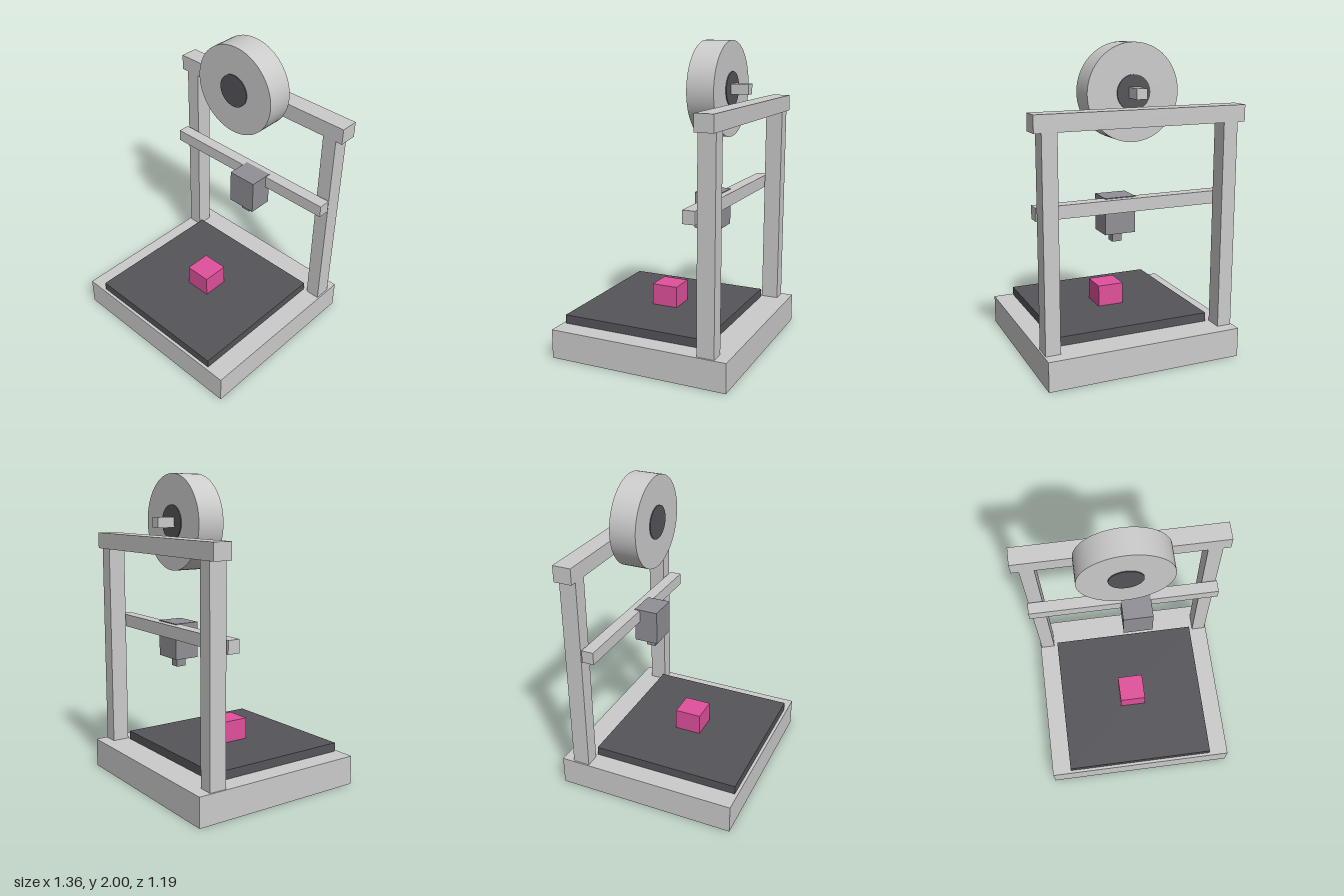
import * as THREE from 'three';

const material = (color) => new THREE.MeshStandardMaterial({ color });

export function createModel() {
  const model = new THREE.Group();
  model.name = 'printer';

  const frame = material(0xcccccc);
  const dark = material(0x55545a);
  const metal = material(0x909096);
  const pink = material(0xe0509c);

  // Box given by its [min, max] extent on each axis
  function box(name, [x0, x1], [y0, y1], [z0, z1], mat) {
    const mesh = new THREE.Mesh(new THREE.BoxGeometry(x1 - x0, y1 - y0, z1 - z0), mat);
    mesh.position.set((x0 + x1) / 2, (y0 + y1) / 2, (z0 + z1) / 2);
    mesh.name = name;
    model.add(mesh);
  }

  // Disc facing the front, centred on the spool axis
  function disc(name, radius, [z0, z1], mat) {
    const geometry = new THREE.CylinderGeometry(radius, radius, z1 - z0, 64);
    geometry.rotateX(Math.PI / 2);
    const mesh = new THREE.Mesh(geometry, mat);
    mesh.position.set(0, 1.703, (z0 + z1) / 2);
    mesh.name = name;
    model.add(mesh);
  }

  // Base, print bed and printed cube
  box('base', [-0.643, 0.643], [0, 0.19], [-0.597, 0.597], frame);
  box('printBed', [-0.51, 0.51], [0.19, 0.248], [-0.405, 0.577], dark);
  box('printedCube', [-0.088, 0.088], [0.248, 0.39], [-0.02, 0.156], pink);

  // Gantry: two posts, top beam and cross rail
  box('leftPost', [0.538, 0.633], [0.19, 1.515], [-0.517, -0.405], frame);
  box('rightPost', [-0.633, -0.538], [0.19, 1.515], [-0.517, -0.405], frame);
  box('topBeam', [-0.68, 0.68], [1.515, 1.62], [-0.523, -0.402], frame);
  box('crossRail', [-0.638, 0.638], [0.983, 1.065], [-0.395, -0.315], frame);

  // Print head and nozzle
  box('printHead', [-0.02, 0.18], [0.84, 1.07], [-0.352, -0.19], metal);
  box('nozzle', [0.048, 0.112], [0.778, 0.84], [-0.302, -0.238], metal);

  // Filament spool on its arm
  disc('spool', 0.297, [-0.359, -0.183], frame);
  disc('spoolHub', 0.108, [-0.365, -0.177], dark);
  box('spoolArm', [-0.034, 0.034], [1.672, 1.736], [-0.479, -0.27], frame);

  return model;
}
